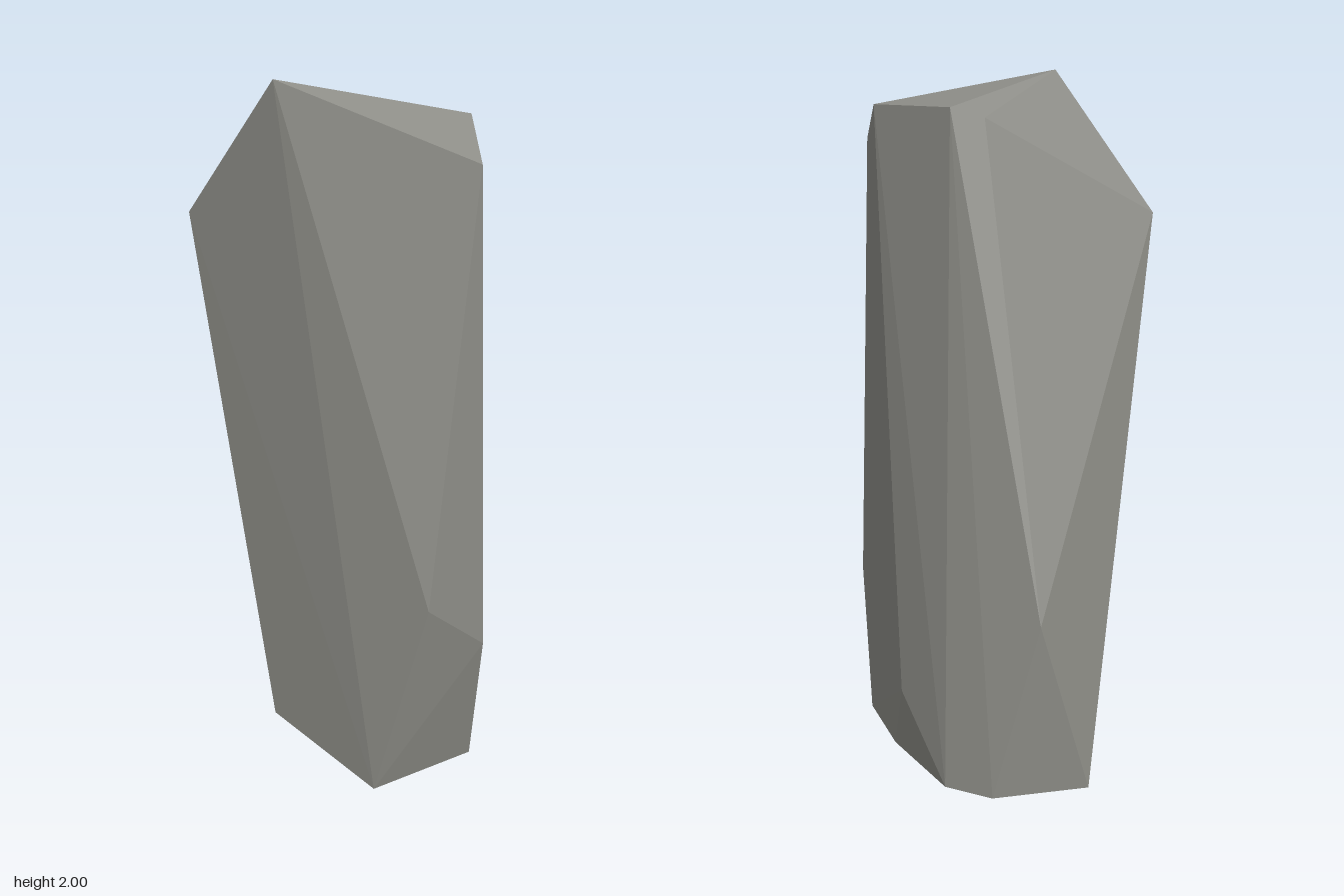
import * as THREE from 'three';
import { ConvexGeometry } from 'three/addons/geometries/ConvexGeometry.js';

export function createModel() {
  const stone = new THREE.MeshStandardMaterial({ color: 0x8a8a84 });
  stone.name = 'stone grey';

  // Flat base outline
  const base = [
    [-0.465, 0, -0.04], [-0.3, 0, -0.27], [-0.155, 0, -0.31],
    [0.145, 0, -0.21], [0.38, 0, -0.08], [0.31, 0, 0.257],
  ];
  // Chipped corners low on the sides
  const sides = [
    [-0.075, 0.1, 0.305], [0.435, 0.61, 0.17], [0.463, 0.44, -0.03],
    [0.055, 0.22, -0.27], [-0.388, 0.51, -0.17],
  ];
  // Slanted crown
  const crown = [
    [-0.08, 2, 0.25], [-0.388, 1.61, 0.31], [0.385, 1.805, -0.05],
    [0.245, 1.905, -0.158], [-0.045, 1.9, -0.157], [-0.11, 1.873, -0.09],
  ];

  // Faceted standing stone stretched over the corners
  const points = [...base, ...sides, ...crown].map((p) => new THREE.Vector3(...p));
  const rock = new THREE.Mesh(new ConvexGeometry(points), stone);
  rock.name = 'standingStone';

  const group = new THREE.Group();
  group.name = 'rock';
  group.add(rock);
  return group;
}
